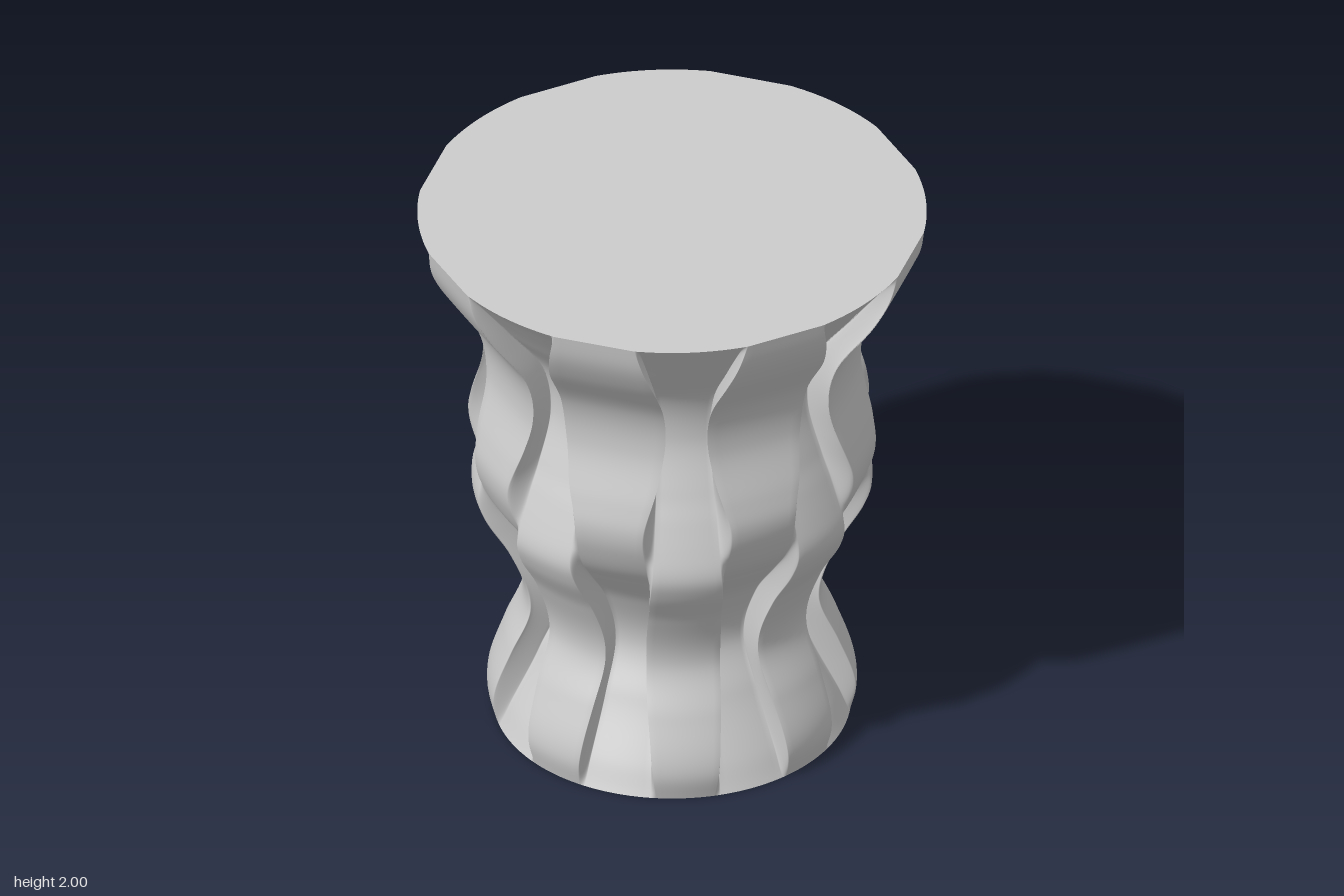
import * as THREE from 'three';

const ROWS = 120, SWELL = 0.055;
const rad = THREE.MathUtils.degToRad;

// Smooth curve through [height, value] pairs
function curve(pairs) {
  const it = new THREE.CubicInterpolant(pairs.map(p => p[0]), pairs.map(p => p[1]), 1, [0]);
  return y => it.evaluate(y)[0];
}

// Mean radius, midway between raised and sunken strips
const meanRadius = curve([[0, 0.61], [0.1, 0.599], [0.3, 0.522], [0.48, 0.455], [0.7, 0.522], [0.85, 0.619],
  [0.93, 0.66], [1.03, 0.672], [1.13, 0.664], [1.22, 0.64], [1.42, 0.59], [1.6, 0.621], [1.8, 0.758],
  [1.9, 0.819], [2, 0.868]]);
// Edge angles in degrees, from the middle of a main strip; raised strips flare over the grooves
const mainEdge = curve([[0, 9.3], [0.2, 11.3], [0.5, 14.3], [0.8, 11.3], [0.95, 9.8], [1.1, 9.6], [1.5, 10], [2, 11.8]]);
const betweenEdge = curve([[0, 11.5], [0.5, 12], [0.95, 12.2], [1.13, 12.6], [1.3, 8.8], [1.5, 6.3], [1.75, 8.5],
  [1.9, 11.2], [2, 13]]);

// One half sector (0 to 22.5 degrees) as [angle, radius] pairs
function halfSector(y) {
  const swell = SWELL * Math.tanh(2 * Math.sin(Math.PI * y)) / Math.tanh(2);
  const main = meanRadius(y) + swell, between = meanRadius(y) - swell;
  const a0 = mainEdge(y), a1 = betweenEdge(y), pts = [];
  // round main strip
  for (let i = 0; i < 5; i++) pts.push([a0 * i / 5, main]);
  // wall between the two strips
  for (let i = 0; i <= 8; i++) {
    const u = i / 8;
    pts.push([a0 + (a1 - a0) * u, main + (between - main) * THREE.MathUtils.smoothstep(u, 0, 1)]);
  }
  // strip in between, round at the bottom and flat at the top
  for (let i = 1; i <= 5; i++) {
    const a = a1 + (22.5 - a1) * i / 5;
    const chord = Math.cos(rad(22.5 - a1)) / Math.cos(rad(22.5 - a));
    pts.push([a, between * (1 + (chord - 1) * y / 2)]);
  }
  return pts;
}

// Whole cross-section by mirroring and repeating the half sector eight times
function ring(y) {
  const h = halfSector(y), pts = [];
  const sector = [...h, ...h.slice(1, -1).reverse().map(([a, r]) => [45 - a, r])];
  for (let k = 0; k < 8; k++) {
    for (const [a, r] of sector) {
      const q = rad(a + 45 * k);
      pts.push([r * Math.sin(q), y, r * Math.cos(q)]);
    }
  }
  return pts;
}

function geometry(points, index) {
  const g = new THREE.BufferGeometry();
  g.setAttribute('position', new THREE.Float32BufferAttribute(points.flat(), 3));
  g.setIndex(index);
  g.computeVertexNormals();
  return g;
}

function wall() {
  const points = [], index = [];
  for (let j = 0; j <= ROWS; j++) points.push(...ring(2 * j / ROWS));
  const n = points.length / (ROWS + 1);
  for (let j = 0; j < ROWS; j++) {
    for (let i = 0; i < n; i++) {
      const a = j * n + i, b = j * n + (i + 1) % n;
      index.push(a, b, b + n, a, b + n, a + n);
    }
  }
  return geometry(points, index);
}

function cap(y, up) {
  const points = ring(y), n = points.length, index = [];
  points.push([0, y, 0]);
  for (let i = 0; i < n; i++) {
    const next = (i + 1) % n;
    index.push(n, up ? i : next, up ? next : i);
  }
  return geometry(points, index);
}

export function createModel() {
  const group = new THREE.Group();
  group.name = 'flutedStool';
  const grey = new THREE.MeshStandardMaterial({ color: 0xcccccc });
  grey.name = 'light grey';
  const add = (name, geo) => {
    const mesh = new THREE.Mesh(geo, grey);
    mesh.name = name;
    group.add(mesh);
  };
  add('flutedBody', wall());
  add('seatTop', cap(2, true));
  add('base', cap(0, false));
  return group;
}
